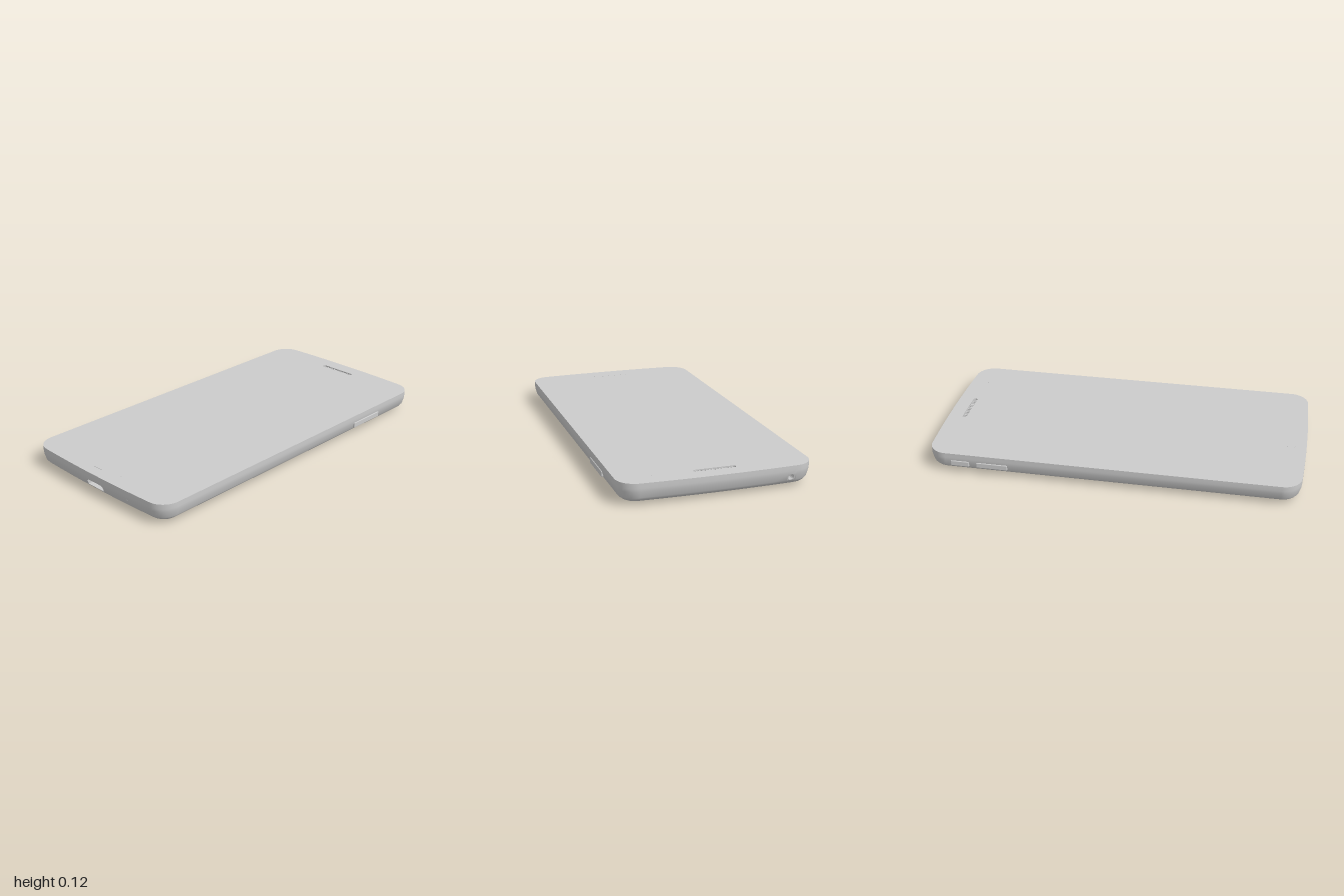
import * as THREE from 'three';
import { toCreasedNormals } from 'three/addons/utils/BufferGeometryUtils.js';
import { RoundedBoxGeometry } from 'three/addons/geometries/RoundedBoxGeometry.js';

const HALF_W = 0.497, R = 0.1, CX = HALF_W - R, CZ = 0.99 - R;
const LOW = 0.04, HIGH = 0.073; // height band that holds the sockets
const TOP = 0.116, BACK = 0.004;

// Shell profile from back to screen: [inset, y]
const PROFILE = [
  [0.09, BACK], [0.07, 0.006], [0.05, 0.0105], [0.034, 0.018], [0.021, 0.028],
  [0.011, LOW], [0.0015, HIGH], [0, 0.09], [0, 0.105],
];

// Slightly bowed short end
const endAt = x => 1 - 0.01 * (x / CX) ** 2;

// Rounded outline in (x, -z), counter-clockwise, shrunk by an inset
function outline(inset) {
  const pts = [];
  const corner = (sx, sy, start) => {
    for (let i = 0; i <= 10; i++) {
      const a = start + (i / 10) * Math.PI / 2;
      pts.push(new THREE.Vector2(sx * CX + (R - inset) * Math.cos(a), sy * CZ + (R - inset) * Math.sin(a)));
    }
  };
  const end = (xs, s) => xs.forEach(x => pts.push(new THREE.Vector2(x, s * (endAt(x) - inset))));
  corner(1, 1, 0);
  end([0.3, 0.2, 0.1, 0, -0.1, -0.2, -0.28, -0.35, -0.39], 1);
  corner(-1, 1, Math.PI / 2);
  corner(-1, -1, Math.PI);
  end([-0.3, -0.2, -0.13, -0.065, 0.065, 0.13, 0.2, 0.3], -1);
  corner(1, -1, Math.PI * 1.5);
  return pts;
}

// Curved shell, left open where the sockets go
function shellGeometry() {
  const rings = PROFILE.map(([inset]) => outline(inset));
  const n = rings[0].length, pos = [], idx = [];
  rings.forEach((ring, j) => ring.forEach(p => pos.push(p.x, PROFILE[j][1], -p.y)));
  const open = (j, p, q) => {
    if (PROFILE[j][1] !== LOW) return false;
    const mid = (p.x + q.x) / 2, span = Math.abs(p.x - q.x);
    return (p.y < -0.9 && Math.abs(mid) < 0.01 && span > 0.12) ||
      (p.y > 0.9 && Math.abs(mid + 0.37) < 0.001 && span > 0.03);
  };
  for (let j = 0; j < rings.length - 1; j++) {
    for (let i = 0; i < n; i++) {
      const k = (i + 1) % n;
      if (open(j, rings[j][i], rings[j][k])) continue;
      const a = j * n + i, b = j * n + k;
      idx.push(a, b, b + n, a, b + n, a + n);
    }
  }
  const g = new THREE.BufferGeometry();
  g.setAttribute('position', new THREE.Float32BufferAttribute(pos, 3));
  g.setIndex(idx);
  g.computeVertexNormals();
  return g;
}

// Rounded slot as a path in (x, y)
function slot(cx, cy, w, h) {
  const r = h / 2, p = new THREE.Path();
  p.absarc(cx + w / 2 - r, cy, r, -Math.PI / 2, Math.PI / 2);
  p.absarc(cx - w / 2 + r, cy, r, Math.PI / 2, Math.PI * 1.5);
  p.closePath();
  return p;
}

// Flat plate with holes, lying at height y
function plate(inset, holes, depth, y) {
  const s = new THREE.Shape(outline(inset));
  s.holes.push(...holes);
  const g = new THREE.ExtrudeGeometry(s, { depth, bevelEnabled: false, curveSegments: 8 });
  g.rotateX(-Math.PI / 2).translate(0, y, 0);
  return toCreasedNormals(g, 0.5);
}

// Wall panel with a hole, following the slope of the shell at a short end
function socketGeometry(x0, x1, hole, depth) {
  const s = new THREE.Shape([[x0, LOW], [x1, LOW], [x1, HIGH], [x0, HIGH]].map(p => new THREE.Vector2(...p)));
  s.holes.push(hole);
  const g = new THREE.ExtrudeGeometry(s, { depth, bevelEnabled: false, curveSegments: 16 });
  const p = g.attributes.position;
  for (let i = 0; i < p.count; i++) {
    const inset = THREE.MathUtils.mapLinear(p.getY(i), LOW, HIGH, 0.011, 0.0015);
    p.setZ(i, endAt(x0 < 0 ? x0 : p.getX(i)) - inset + p.getZ(i) - depth);
  }
  return toCreasedNormals(g, 0.5);
}

export function createModel() {
  const group = new THREE.Group();
  group.name = 'phone';
  const mat = new THREE.MeshStandardMaterial({ color: 0xcccccc });
  const add = (name, geo, x = 0, y = 0, z = 0) => {
    const m = new THREE.Mesh(geo, mat);
    m.name = name;
    m.position.set(x, y, z);
    group.add(m);
    return m;
  };

  add('shell', shellGeometry());

  // Screen with earpiece slot
  add('screen', plate(0, [slot(0, 0.908, 0.22, 0.024)], TOP - 0.105, 0.105));
  add('earpieceFloor', new THREE.BoxGeometry(0.24, 0.006, 0.04), 0, 0.104, -0.908);
  for (let i = 0; i < 12; i++) {
    add('earpieceRib', new THREE.BoxGeometry(0.006, 0.006, 0.02), -0.0935 + i * 0.017, 0.109, -0.908);
  }

  // Home key and sensors, almost flush with the screen
  const key = new THREE.ExtrudeGeometry(slot(0, 0, 0.22, 0.045).getPoints(8).length
    ? new THREE.Shape(slot(0, 0, 0.22, 0.045).getPoints(8)) : null, { depth: 0.001, bevelEnabled: false });
  add('homeKey', key.rotateX(-Math.PI / 2), 0, TOP - 0.0004, 0.917);
  for (const x of [0.29, 0.315]) {
    add('sensor', new THREE.CylinderGeometry(0.007, 0.007, 0.001, 16), x, TOP, -0.895);
  }

  // Back cover with loudspeaker slot
  add('backCover', plate(0.09, [slot(-0.26, -0.8, 0.21, 0.026)], 0.012, BACK));
  add('loudspeakerFloor', new THREE.BoxGeometry(0.24, 0.004, 0.05), -0.26, 0.016, 0.8);

  // Rear camera ring with sunken lens, and flash
  const ring = [[0, 0.002], [0.07, 0.002], [0.075, 0], [0.092, 0], [0.096, 0.0045]];
  const cam = new THREE.LatheGeometry(ring.map(p => new THREE.Vector2(...p)), 40);
  add('rearCamera', toCreasedNormals(cam, 0.3), 0, 0, -0.77);
  add('flash', new THREE.CylinderGeometry(0.025, 0.025, 0.003, 20), 0.19, 0.004, -0.77);

  // Charging port on the front end
  const port = new THREE.Path([
    [-0.06, 0.0405], [-0.06, 0.063], [-0.049, 0.0725], [0.049, 0.0725], [0.06, 0.063], [0.06, 0.0405],
  ].map(p => new THREE.Vector2(...p)));
  add('chargingPort', socketGeometry(-0.065, 0.065, port, 0.05));
  add('chargingPortFloor', new THREE.BoxGeometry(0.13, 0.036, 0.01), 0, 0.0565, 0.95);
  const mic = add('microphone', new THREE.CylinderGeometry(0.004, 0.004, 0.004, 12), 0.24, 0.066, 0.9925);
  mic.rotation.x = Math.PI / 2;

  // Headphone jack on the back end
  const bore = new THREE.Path().absarc(0, 0, 0.0155, 0, Math.PI * 2);
  const jackHole = new THREE.Path(bore.getPoints(24).map(p => p.add(new THREE.Vector2(0.37, 0.0565))));
  add('headphoneJack', socketGeometry(0.35, 0.39, jackHole, 0.06)).rotation.y = Math.PI;
  add('headphoneJackFloor', new THREE.BoxGeometry(0.038, 0.034, 0.006), -0.37, 0.0565, -0.93);

  // Side keys
  const sideKey = (name, side, z0, z1) =>
    add(name, new RoundedBoxGeometry(0.02, 0.03, z1 - z0, 3, 0.004), side * 0.49, 0.06, (z0 + z1) / 2);
  sideKey('powerKey', 1, -0.67, -0.45);
  sideKey('volumeKey', -1, -0.72, -0.55);
  sideKey('cameraKey', -1, -0.86, -0.76);

  return group;
}
